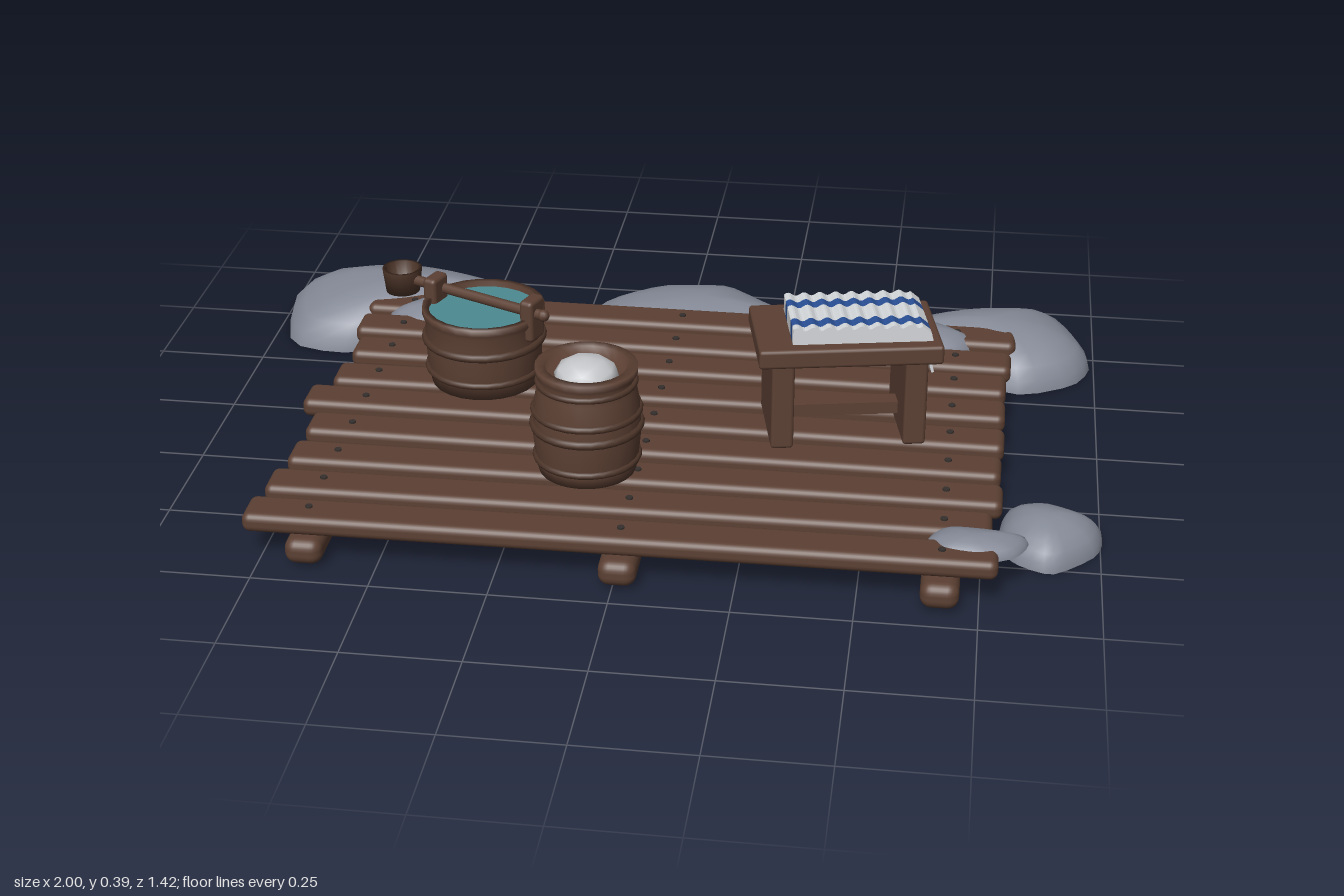
import * as THREE from 'three';
import { RoundedBoxGeometry } from 'three/addons/geometries/RoundedBoxGeometry.js';

const mat = (name, color, side = THREE.FrontSide) => {
  const m = new THREE.MeshStandardMaterial({ color, side });
  m.name = name;
  return m;
};

export function createModel() {
  const wood = mat('brown wood', 0x5c4033);
  const darkWood = mat('dark wood', 0x4d3529);
  const iron = mat('dark iron', 0x35302e);
  const stone = mat('grey stone', 0x858a97);
  const water = mat('teal water', 0x4d8a91);
  const white = mat('white cloth', 0xd6d9dc);
  const blue = mat('blue stripe', 0x2a5096);
  const salt = mat('pale salt', 0xc6c8cb);

  const model = new THREE.Group();
  model.name = 'washingDeck';

  const add = (parent, name, geometry, material, x = 0, y = 0, z = 0, ry = 0) => {
    const mesh = new THREE.Mesh(geometry, material);
    mesh.name = name;
    mesh.position.set(x, y, z);
    mesh.rotation.y = ry;
    parent.add(mesh);
    return mesh;
  };
  const group = (name, x = 0, y = 0, z = 0, ry = 0) => {
    const g = new THREE.Group();
    g.name = name;
    g.position.set(x, y, z);
    g.rotation.y = ry;
    model.add(g);
    return g;
  };
  const lathe = (pts, n = 24) =>
    new THREE.LatheGeometry(pts.map(([r, y]) => new THREE.Vector2(r, y)), n);
  const hoop = (parent, r, y, thick) =>
    add(parent, 'hoop', new THREE.TorusGeometry(r, thick, 8, 28).rotateX(Math.PI / 2), darkWood, 0, y, 0);

  // Deck: three bearers under nine slightly uneven slats, with nails
  const deck = group('deck');
  const bearers = [-0.65, 0.01, 0.67];
  for (const x of bearers)
    add(deck, 'bearer', new RoundedBoxGeometry(0.08, 0.058, 1.155, 3, 0.024), wood, x, 0.036, 0.128);
  const slats = [ // left end, right end, z, turn
    [-0.76, 0.81, -0.398, -0.006], [-0.76, 0.8, -0.27, -0.008], [-0.74, 0.79, -0.147, -0.004],
    [-0.75, 0.79, -0.013, 0.006], [-0.79, 0.79, 0.115, -0.007], [-0.75, 0.785, 0.245, -0.005],
    [-0.755, 0.79, 0.375, 0.002], [-0.77, 0.77, 0.5, 0.008], [-0.785, 0.785, 0.625, 0.007],
  ];
  for (const [a, b, z, turn] of slats) {
    add(deck, 'slat', new RoundedBoxGeometry(b - a, 0.044, 0.095, 3, 0.017), wood, (a + b) / 2, 0.084, z, turn);
    for (const x of bearers)
      add(deck, 'nail', new THREE.CylinderGeometry(0.008, 0.008, 0.006, 8), iron, x, 0.107, z);
  }

  // Rocks: flat-bottomed domes raised over an irregular outline
  const rock = (name, y0, height, outline) => {
    const curve = new THREE.CatmullRomCurve3(
      outline.map(([x, z]) => new THREE.Vector3(x, 0, z)), true, 'catmullrom', 0.35);
    const n = 24, rings = 6, pos = [], idx = [];
    const ring = curve.getPoints(n).slice(0, n);
    const c = ring.reduce((s, p) => s.add(p), new THREE.Vector3()).divideScalar(n);
    for (let j = 0; j < rings; j++) {
      const t = (j / rings) * Math.PI / 2;
      for (const p of ring) {
        const q = p.clone().lerp(c, 1 - Math.cos(t));
        pos.push(q.x, y0 + height * Math.sin(t), q.z);
      }
    }
    const apex = rings * n;
    pos.push(c.x, y0 + height, c.z);
    for (const p of ring) pos.push(p.x, y0, p.z);
    pos.push(c.x, y0, c.z);
    for (let i = 0; i < n; i++) {
      const k = (i + 1) % n;
      for (let j = 0; j < rings - 1; j++) {
        const a = j * n + i, b = j * n + k;
        idx.push(a, a + n, b, b, a + n, b + n);
      }
      idx.push((rings - 1) * n + i, apex, (rings - 1) * n + k);
      idx.push(apex + 1 + i, apex + 1 + k, apex + 1 + n);
    }
    const g = new THREE.BufferGeometry();
    g.setAttribute('position', new THREE.Float32BufferAttribute(pos, 3));
    g.setIndex(idx);
    g.computeVertexNormals();
    add(model, name, g, stone);
  };
  rock('backRightRock', 0, 0.13, [[-1, -0.54], [-0.95, -0.635], [-0.71, -0.675], [-0.5, -0.63],
    [-0.37, -0.56], [-0.35, -0.5], [-0.5, -0.44], [-0.66, -0.35], [-0.82, -0.3], [-0.95, -0.34]]);
  rock('backMiddleRock', 0, 0.095, [[-0.27, -0.46], [-0.23, -0.6], [-0.11, -0.69], [0.03, -0.712],
    [0.12, -0.71], [0.24, -0.61], [0.365, -0.5], [0.3, -0.43], [0.1, -0.37], [-0.15, -0.38]]);
  rock('backLeftRock', 0, 0.115, [[0.46, -0.49], [0.57, -0.58], [0.7, -0.63], [0.9, -0.65],
    [0.965, -0.55], [0.99, -0.45], [0.95, -0.36], [0.83, -0.295], [0.7, -0.34], [0.54, -0.41]]);
  rock('smallRightRock', 0.075, 0.06, [[-0.705, -0.35], [-0.65, -0.42], [-0.555, -0.45], [-0.42, -0.41],
    [-0.375, -0.35], [-0.395, -0.27], [-0.53, -0.26], [-0.64, -0.285]]);
  rock('smallLeftRock', 0.075, 0.058, [[0.43, -0.37], [0.47, -0.43], [0.61, -0.46], [0.715, -0.39],
    [0.685, -0.32], [0.57, -0.27], [0.46, -0.3]]);
  rock('sideRock', 0, 0.077, [[0.785, 0.4], [0.8, 0.305], [0.885, 0.28], [1, 0.34], [0.99, 0.43],
    [0.9, 0.515], [0.82, 0.48]]);
  rock('cornerRock', 0.085, 0.036, [[0.635, 0.57], [0.675, 0.515], [0.84, 0.53], [0.82, 0.6],
    [0.745, 0.635], [0.66, 0.62]]);

  // Water tub with two ears
  const tub = group('tub', -0.4, 0, -0.02);
  add(tub, 'tubBody', lathe([[0, 0.106], [0.123, 0.106], [0.13, 0.15], [0.134, 0.22], [0.132, 0.26],
    [0.14, 0.272], [0.14, 0.288], [0.126, 0.288], [0.124, 0.2], [0, 0.2]]), wood);
  hoop(tub, 0.129, 0.143, 0.008);
  hoop(tub, 0.133, 0.215, 0.01);
  add(tub, 'water', new THREE.CylinderGeometry(0.126, 0.126, 0.006, 28), water, 0, 0.272, 0);
  for (const s of [-1, 1])
    add(tub, 'ear', new RoundedBoxGeometry(0.034, 0.1, 0.06, 2, 0.01), wood, s * 0.12, 0.283, s * 0.045, -0.36);

  // Ladle lying across the tub
  const ladle = group('ladle', -0.61, 0, -0.12);
  add(ladle, 'ladleCup', lathe([[0, 0.266], [0.039, 0.266], [0.046, 0.322], [0.038, 0.322],
    [0.033, 0.276], [0, 0.276]], 18), darkWood);
  const from = new THREE.Vector3(0.035, 0.3, 0.016), to = new THREE.Vector3(0.36, 0.3, 0.165);
  add(ladle, 'ladleHandle', new THREE.TubeGeometry(new THREE.LineCurve3(from, to), 1, 0.012, 10), wood);
  add(ladle, 'handleTip', new THREE.SphereGeometry(0.014, 10, 8), wood, to.x, to.y, to.z);

  // Barrel heaped with salt
  const barrel = group('barrel', -0.1, 0, 0.37);
  add(barrel, 'barrelBody', lathe([[0, 0.106], [0.105, 0.106], [0.11, 0.13], [0.116, 0.19], [0.116, 0.25],
    [0.107, 0.3], [0.102, 0.325], [0.11, 0.335], [0.11, 0.35], [0.088, 0.35], [0.084, 0.325], [0, 0.325]]), wood);
  hoop(barrel, 0.11, 0.14, 0.008);
  hoop(barrel, 0.114, 0.215, 0.01);
  hoop(barrel, 0.113, 0.25, 0.008);
  hoop(barrel, 0.104, 0.315, 0.007);
  const heap = new THREE.IcosahedronGeometry(0.07, 1);
  heap.scale(1, 0.55, 1);
  add(barrel, 'saltHeap', heap, salt, 0, 0.327, 0);

  // Stool with slab legs
  const stool = group('stool', 0.43, 0, 0.11, 0.2);
  add(stool, 'stoolTop', new RoundedBoxGeometry(0.4, 0.044, 0.24, 2, 0.008), wood, 0, 0.329, 0);
  for (const s of [-1, 1])
    add(stool, 'stoolLeg', new RoundedBoxGeometry(0.05, 0.206, 0.21, 2, 0.008), wood, s * 0.145, 0.209, 0);
  add(stool, 'stretcher', new THREE.BoxGeometry(0.26, 0.028, 0.04), wood, 0, 0.155, 0);

  // Folded striped cloth: rippled profile extruded in coloured strips
  const profile = new THREE.Shape();
  profile.moveTo(-0.15, 0.35);
  for (let i = 0; i <= 64; i++) {
    const x = -0.15 + 0.28 * i / 64;
    profile.lineTo(x, 0.387 + 0.004 * Math.sin(i * Math.PI / 4));
  }
  profile.lineTo(0.15, 0.37);
  profile.lineTo(0.155, 0.35);
  const edges = [-0.09, -0.055, -0.026, 0.04, 0.07, 0.09];
  for (let i = 0; i < 5; i++) {
    const depth = edges[i + 1] - edges[i];
    add(stool, i % 2 ? 'clothStripe' : 'cloth',
      new THREE.ExtrudeGeometry(profile, { depth, bevelEnabled: false }),
      i % 2 ? blue : white, 0.025, 0, edges[i]);
  }
  const flap = add(stool, 'clothFlap', new THREE.BoxGeometry(0.006, 0.036, 0.165), white, 0.178, 0.289, 0);
  flap.rotation.z = 0.25;

  return model;
}
